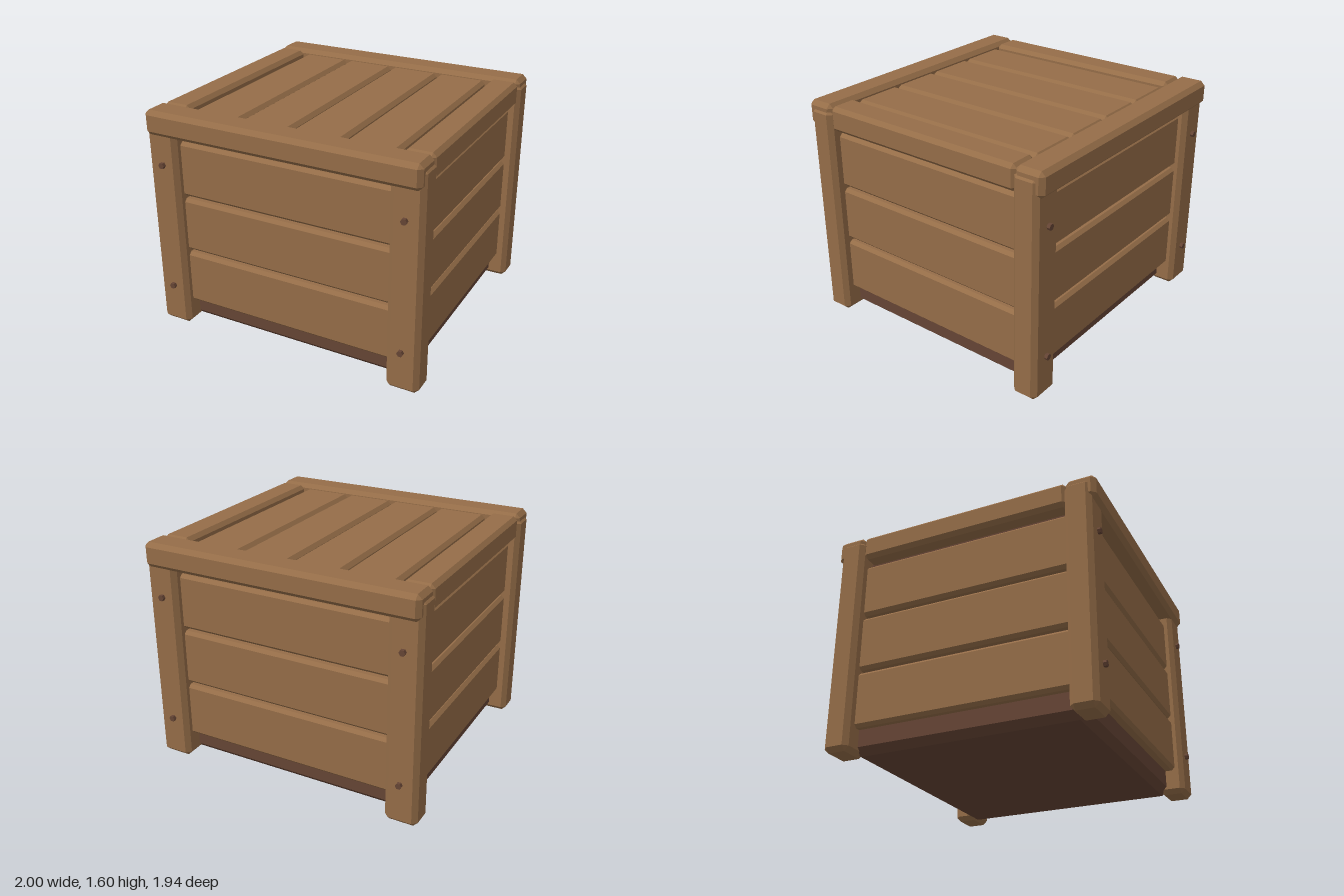
import * as THREE from 'three';
import { ConvexGeometry } from 'three/addons/geometries/ConvexGeometry.js';

const wood = new THREE.MeshStandardMaterial({ color: 0x956d48 });
wood.name = 'oak wood';
const dark = new THREE.MeshStandardMaterial({ color: 0x664535 });
dark.name = 'dark reddish wood';

// Box between two corners with every edge cut by a flat bevel
function bevelBox(name, material, [x0, y0, z0], [x1, y1, z1], bevel) {
  const half = [(x1 - x0) / 2, (y1 - y0) / 2, (z1 - z0) / 2];
  const points = [];
  for (const sx of [-1, 1]) for (const sy of [-1, 1]) for (const sz of [-1, 1])
    for (let face = 0; face < 3; face++) {
      const [px, py, pz] = half.map((h, i) => (i === face ? h : h - bevel));
      points.push(new THREE.Vector3(sx * px, sy * py, sz * pz));
    }
  const mesh = new THREE.Mesh(new ConvexGeometry(points), material);
  mesh.position.set((x0 + x1) / 2, (y0 + y1) / 2, (z0 + z1) / 2);
  mesh.name = name;
  return mesh;
}

export function createModel() {
  const crate = new THREE.Group();
  crate.name = 'woodenCrate';

  // Dark inner body, seen in the gaps and underneath
  crate.add(bevelBox('innerBody', dark, [-0.87, 0.003, -0.81], [0.87, 1.5, 0.81], 0.05));

  // Corner posts with two hexagonal bolts each
  const boltGeometry = new THREE.CylinderGeometry(0.022, 0.022, 0.06, 6).toNonIndexed();
  boltGeometry.computeVertexNormals();
  boltGeometry.rotateY(Math.PI / 2).rotateX(Math.PI / 2);
  for (const sx of [-1, 1]) for (const sz of [-1, 1]) {
    const post = bevelBox('cornerPost', wood, [-0.115, 0, -0.092], [0.115, 1.56, 0.092], 0.032);
    post.position.x = sx * 0.885;
    post.position.z = sz * 0.847;
    crate.add(post);
    for (const y of [0.3, 1.22]) {
      const bolt = new THREE.Mesh(boltGeometry, dark);
      bolt.name = 'bolt';
      bolt.position.set(sx * 0.88, y, sz * 0.932);
      crate.add(bolt);
    }
  }

  // Three planks on each of the four walls
  for (let i = 0; i < 3; i++) {
    const y0 = 0.17 + i * 0.41, y1 = y0 + 0.39;
    for (const s of [-1, 1]) {
      const wallPlank = bevelBox('wallPlank', wood, [-0.83, y0, -0.05], [0.83, y1, 0.05], 0.022);
      wallPlank.position.z = s * 0.83;
      const sidePlank = bevelBox('sidePlank', wood, [-0.05, y0, -0.81], [0.05, y1, 0.81], 0.022);
      sidePlank.position.x = s * 0.875;
      crate.add(wallPlank, sidePlank);
    }
  }

  // Lid frame: front and back rails, then side rails
  for (const s of [-1, 1]) {
    const endRail = bevelBox('lidEndRail', wood, [-0.987, 1.425, -0.104], [0.987, 1.597, 0.104], 0.03);
    endRail.position.z = s * 0.864;
    const sideRail = bevelBox('lidSideRail', wood, [-0.103, 1.415, -0.765], [0.103, 1.59, 0.765], 0.027);
    sideRail.position.x = s * 0.879;
    crate.add(endRail, sideRail);
  }

  // Lid boards
  for (let i = 0; i < 4; i++) {
    const x = (i - 1.5) * 0.375;
    crate.add(bevelBox('lidBoard', wood, [x - 0.18, 1.43, -0.758], [x + 0.18, 1.57, 0.758], 0.025));
  }

  return crate;
}
